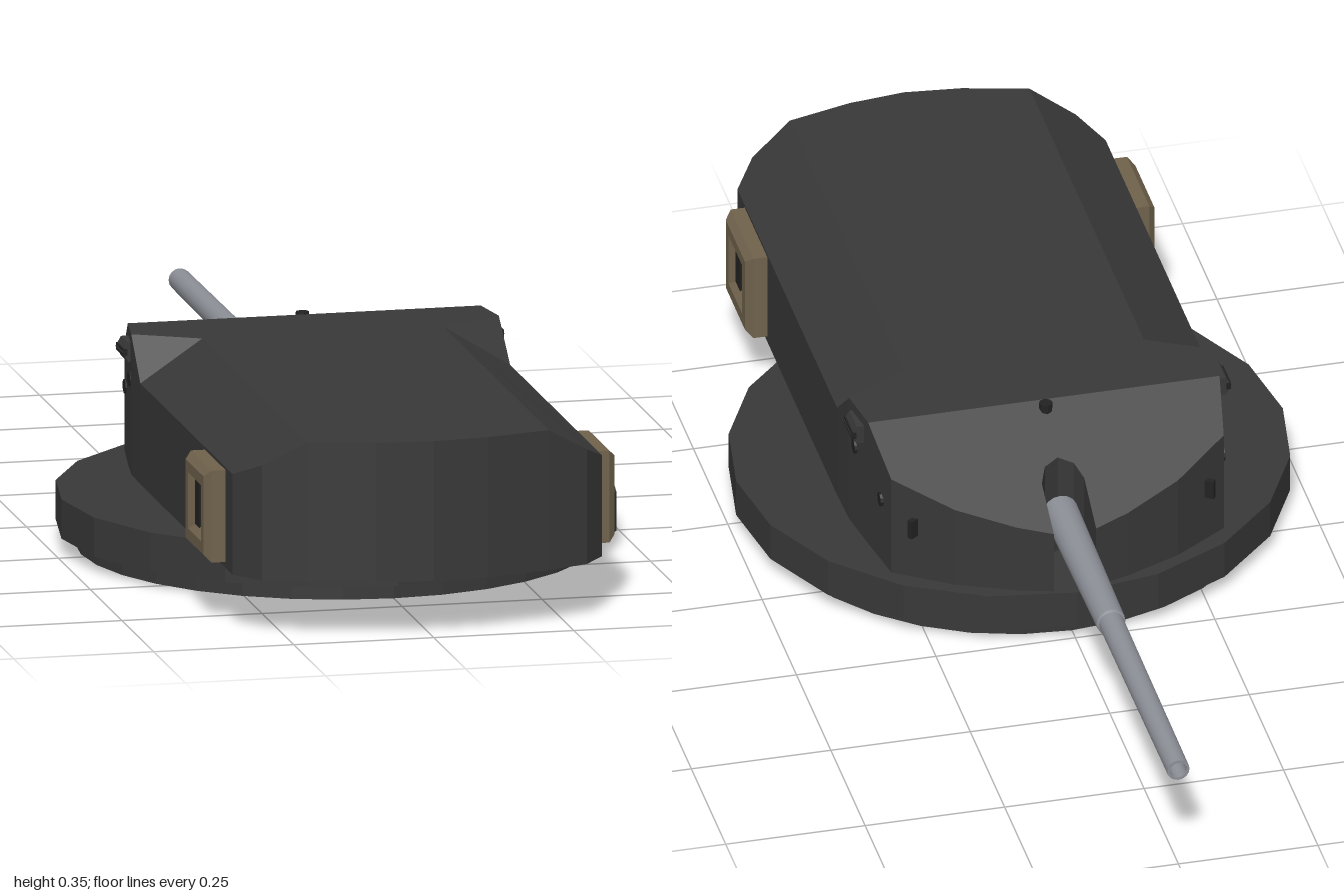
import * as THREE from 'three';

const mat = (name, color, extra = {}) => {
  const m = new THREE.MeshStandardMaterial({ color, ...extra });
  m.name = name;
  return m;
};

export function createModel() {
  const armour = mat('dark armour', 0x383838, { flatShading: true });
  const black = mat('black fittings', 0x222222, { flatShading: true });
  const steel = mat('gun steel', 0x8c9097, { side: THREE.DoubleSide });
  const brown = mat('brown frame', 0x70624c, { flatShading: true });

  const group = new THREE.Group();
  group.name = 'gunTurret';
  const add = (name, geo, material, x = 0, y = 0, z = 0, parent = group) => {
    const mesh = new THREE.Mesh(geo, material);
    mesh.name = name;
    mesh.position.set(x, y, z);
    parent.add(mesh);
    return mesh;
  };

  // Stepped ring under the turret
  add('lowerRing', new THREE.CylinderGeometry(0.455, 0.455, 0.03, 32), armour, 0, 0.015, 0.23);
  add('upperRing', new THREE.CylinderGeometry(0.49, 0.49, 0.07, 20), armour, 0, 0.065, 0.23);

  add('turretBody', bodyGeometry(), armour);

  // Stepped, hollow barrel, muzzle towards -z
  const barrel = add('gunBarrel', new THREE.LatheGeometry([
    [0, 0.14], [0.031, 0.14], [0.031, 0.14], [0.026, 0.51], [0.026, 0.51], [0.022, 0.512],
    [0.022, 0.512], [0.02, 1], [0.02, 1], [0.015, 1], [0.015, 1], [0.015, 0.9], [0, 0.9],
  ].map(([r, l]) => new THREE.Vector2(r, l)), 16), steel, 0, 0.194, 0);
  barrel.rotation.x = -Math.PI / 2;

  // Periscope knob at the front edge of the roof
  add('roofKnob', new THREE.CylinderGeometry(0.012, 0.012, 0.024, 8), black, 0, 0.34, -0.034);

  for (const s of [1, -1]) {
    const side = new THREE.Group();
    side.name = s > 0 ? 'leftFittings' : 'rightFittings';
    group.add(side);

    // Framed locker: bevelled frame, dark panel and upright slats
    const locker = new THREE.Group();
    locker.name = 'locker';
    locker.position.set(s * 0.33, 0.193, 0.735);
    locker.rotation.y = s * Math.PI / 2;
    side.add(locker);
    const frame = square(0.07);
    frame.holes.push(square(0.05));
    add('lockerFrame', new THREE.ExtrudeGeometry(frame, {
      depth: 0.025, bevelEnabled: true, bevelThickness: 0.012, bevelSize: 0.012, bevelSegments: 1,
    }), brown, 0, 0, 0, locker);
    add('lockerPanel', new THREE.BoxGeometry(0.12, 0.12, 0.02), brown, 0, 0, 0.01, locker);
    for (const x of [-0.024, 0.024])
      add('lockerSlat', new THREE.BoxGeometry(0.036, 0.09, 0.01), black, x, 0, 0.022, locker);

    // Sight hood and small ports on the cheeks
    const hood = add('sightHood', new THREE.CylinderGeometry(0.02, 0.02, 0.055, 6), armour, s * 0.321, 0.315, 0.025, side);
    hood.rotation.set(Math.PI / 2, 0, 0);
    hood.rotation.y = Math.PI / 6;
    add('sightSlit', new THREE.BoxGeometry(0.008, 0.013, 0.057), black, s * 0.336, 0.315, 0.025, side);
    for (const [x, y, z] of [[0.322, 0.265, 0.04], [0.304, 0.225, -0.075]]) {
      const port = add('port', new THREE.CylinderGeometry(0.013, 0.013, 0.01, 10), black, s * x, y, z, side);
      port.rotation.z = Math.PI / 2;
    }
    const plate = add('cheekPlate', new THREE.BoxGeometry(0.03, 0.035, 0.01), black, s * 0.261, 0.204, -0.144, side);
    plate.rotation.y = s * 0.6;
  }
  return group;
}

function square(h) {
  return new THREE.Shape([[-h, -h], [h, -h], [h, h], [-h, h]].map(([x, y]) => new THREE.Vector2(x, y)));
}

// Upright walls over a plan outline, closed by flat roof, side chamfers and sloped front
function bodyGeometry() {
  const base = 0.1, roofY = 0.35;
  const slope = (x, z) => [x, roofY + (z + 0.02) * 0.58, z];
  const mirror = (pts) => pts.map(([x, y, z]) => [-x, y, z]).reverse();

  const rear = [[0, roofY, 0.998], [0.1, roofY, 0.987], [0.215, roofY, 0.957]];
  const corner = [[0.29, 0.305, 0.925], [0.33, 0.28, 0.87]];
  const chamferEnd = [0.33, 0.28, 0.145];
  const notchIn = [0.215, roofY, 0.125];
  const notchOut = [0.328, roofY, 0.065];
  const brow = [0.315, roofY, -0.02];
  // Front edge followed by the gun slot
  const front = [[0.298, -0.12], [0.2, -0.185], [0.1, -0.228], [0.038, -0.247],
    [0.038, -0.16], [0.026, -0.133], [0, -0.12]].map(([x, z]) => slope(x, z));

  const half = [...rear, ...corner, chamferEnd, notchOut, brow, ...front];
  const outline = [...half, ...mirror(half).slice(1, -1)];
  const pos = [];

  outline.forEach((p, i) => {
    const q = outline[(i + 1) % outline.length];
    const pb = [p[0], base, p[2]], qb = [q[0], base, q[2]];
    pos.push(...pb, ...qb, ...q, ...pb, ...q, ...p);
  });

  // Fill a polygon seen in plan, facing up (1) or down (-1)
  const fill = (pts, dir = 1) => {
    const flat = pts.map(([x, , z]) => new THREE.Vector2(x, z));
    for (const [a, b, c] of THREE.ShapeUtils.triangulateShape(flat, [])) {
      const [A, B, C] = [pts[a], pts[b], pts[c]];
      const ny = (B[2] - A[2]) * (C[0] - A[0]) - (B[0] - A[0]) * (C[2] - A[2]);
      pos.push(...A, ...(ny * dir > 0 ? [...B, ...C] : [...C, ...B]));
    }
  };
  const roof = [...rear, notchIn, notchOut, brow];
  fill([...roof, ...mirror(roof).slice(0, -1)]);
  const face = [brow, ...front];
  fill([...face, ...mirror(face).slice(1)]);
  for (const part of [[rear[2], ...corner, chamferEnd, notchIn], [notchIn, chamferEnd, notchOut]]) {
    fill(part);
    fill(mirror(part));
  }
  fill(outline.map(([x, , z]) => [x, base, z]), -1);

  const geo = new THREE.BufferGeometry();
  geo.setAttribute('position', new THREE.Float32BufferAttribute(pos, 3));
  geo.computeVertexNormals();
  return geo;
}
